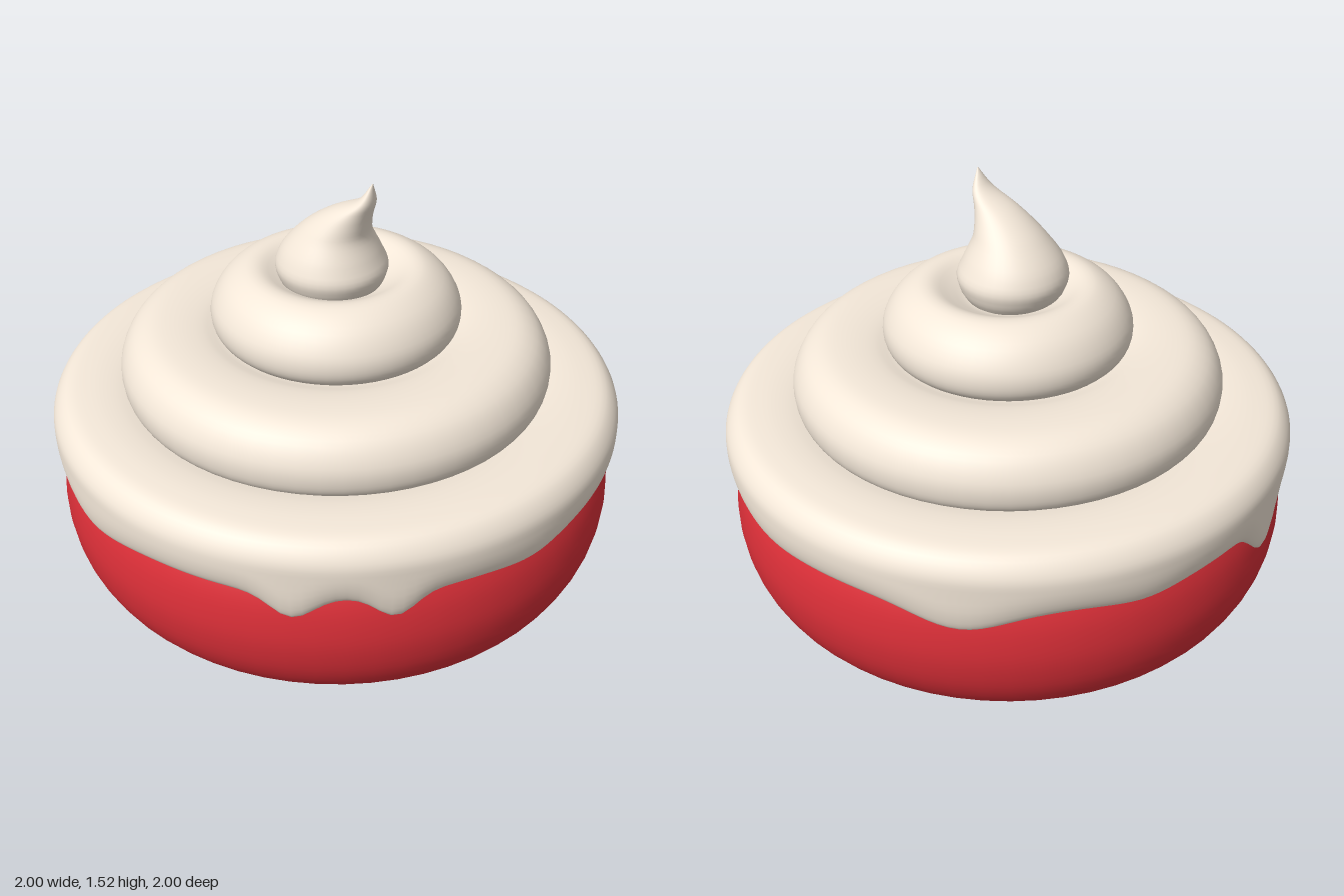
import * as THREE from 'three';

const CREAM = new THREE.MeshStandardMaterial({ color: 0xf3e7d8 });
const RED = new THREE.MeshStandardMaterial({ color: 0xdb2f38 });

// Smooth lathe through a few [radius, height] points, listed from bottom to top
function turned(name, points, material, segments = 64, steps = 32) {
  const curve = new THREE.CatmullRomCurve3(points.map(([r, y]) => new THREE.Vector3(r, y, 0)), false, 'centripetal');
  const profile = curve.getPoints(steps).map((p) => new THREE.Vector2(Math.max(p.x, 0), p.y));
  const mesh = new THREE.Mesh(new THREE.LatheGeometry(profile, segments), material);
  mesh.name = name;
  return mesh;
}

// Drips around the rim: angle from the front in degrees, depth, width in degrees
const DRIPS = [
  [24, 0.075, 5.5], [43, 0.075, 5], [279, 0.12, 6], [210, 0.065, 11],
  [336, 0.045, 14], [72, 0.02, 9], [117, 0.025, 14], [165, 0.015, 12], [245, 0.02, 9],
];

function dripDepth(degrees) {
  return DRIPS.reduce((sum, [at, depth, width]) => {
    const away = ((degrees - at + 540) % 360) - 180;
    return sum + depth * Math.exp(-((away / width) ** 2));
  }, 0);
}

// Pull the lower rim of the icing down where it drips, keeping it outside the cake
function addDrips(mesh) {
  const pos = mesh.geometry.attributes.position;
  for (let i = 0; i < pos.count; i++) {
    const x = pos.getX(i), y = pos.getY(i), z = pos.getZ(i);
    const weight = THREE.MathUtils.clamp((0.65 - y) / 0.115, 0, 1);
    const drop = dripDepth((THREE.MathUtils.radToDeg(Math.atan2(x, z)) + 360) % 360) * weight;
    const r = Math.hypot(x, z);
    const grow = r > 0.95 ? Math.min(1, r + drop * 0.16) / r : 1;
    pos.setXYZ(i, x * grow, y - drop, z * grow);
  }
  mesh.geometry.computeVertexNormals();
  // Blend the normals across the lathe seam
  const nor = mesh.geometry.attributes.normal;
  const rows = mesh.geometry.parameters.points.length;
  const last = pos.count - rows;
  for (let j = 0; j < rows; j++) {
    const n = new THREE.Vector3().fromBufferAttribute(nor, j)
      .add(new THREE.Vector3().fromBufferAttribute(nor, last + j)).normalize();
    nor.setXYZ(j, n.x, n.y, n.z);
    nor.setXYZ(last + j, n.x, n.y, n.z);
  }
}

// Bent peak lofted from ellipses: [height, centre x, centre z, radius x, radius z]
function peak() {
  const sections = [
    [1.09, 0, 0.02, 0.14, 0.14], [1.14, 0, 0.025, 0.178, 0.178], [1.19, 0, 0.027, 0.192, 0.192],
    [1.25, 0, 0.03, 0.17, 0.17], [1.32, 0.017, 0.033, 0.125, 0.127], [1.37, 0.05, 0.037, 0.097, 0.097],
    [1.41, 0.087, 0.04, 0.07, 0.073], [1.46, 0.143, 0.042, 0.028, 0.042], [1.525, 0.166, 0.045, 0.001, 0.001],
  ];
  const centres = new THREE.CatmullRomCurve3(sections.map(([y, x, z]) => new THREE.Vector3(x, y, z)));
  const radii = new THREE.CatmullRomCurve3(sections.map(([, , , a, b]) => new THREE.Vector3(a, b, 0)));
  const rows = 32, sides = 40, positions = [], index = [];
  for (let i = 0; i <= rows; i++) {
    const c = centres.getPoint(i / rows), r = radii.getPoint(i / rows);
    for (let j = 0; j < sides; j++) {
      const a = (j / sides) * Math.PI * 2;
      positions.push(c.x + r.x * Math.sin(a), c.y, c.z + r.y * Math.cos(a));
      if (i === rows) continue;
      const p = i * sides + j, q = i * sides + ((j + 1) % sides);
      index.push(p, q, p + sides, q, q + sides, p + sides);
    }
  }
  const geometry = new THREE.BufferGeometry();
  geometry.setAttribute('position', new THREE.Float32BufferAttribute(positions, 3));
  geometry.setIndex(index);
  geometry.computeVertexNormals();
  const mesh = new THREE.Mesh(geometry, CREAM);
  mesh.name = 'creamPeak';
  return mesh;
}

export function createModel() {
  const group = new THREE.Group();
  group.name = 'creamCake';

  // Rounded cake base
  group.add(turned('cakeBase', [
    [0, 0], [0.35, 0.002], [0.65, 0.012], [0.8, 0.035], [0.9, 0.1], [0.96, 0.2],
    [0.985, 0.31], [0.985, 0.4], [0.965, 0.5], [0.92, 0.58], [0.8, 0.64],
  ], RED));

  // Dripping layer of icing
  const icing = turned('drippingIcing', [
    [0.92, 0.545], [0.965, 0.535], [0.985, 0.56], [1, 0.63], [0.993, 0.69],
    [0.95, 0.742], [0.87, 0.757], [0.78, 0.755], [0.7, 0.74], [0.6, 0.73],
  ], CREAM, 180, 36);
  addDrips(icing);
  group.add(icing);

  // Two piped rings of cream, each dipping toward the next
  group.add(turned('lowerCreamRing', [
    [0.68, 0.7], [0.735, 0.75], [0.75, 0.79], [0.748, 0.85], [0.71, 0.92], [0.65, 0.958],
    [0.57, 0.968], [0.47, 0.96], [0.4, 0.94], [0.3, 0.93],
  ], CREAM));
  group.add(turned('upperCreamRing', [
    [0.38, 0.92], [0.42, 0.96], [0.432, 1.0], [0.425, 1.05], [0.38, 1.12], [0.31, 1.165],
    [0.26, 1.168], [0.2, 1.14], [0.13, 1.11], [0, 1.1],
  ], CREAM));

  // Bent tip
  group.add(peak());
  return group;
}
